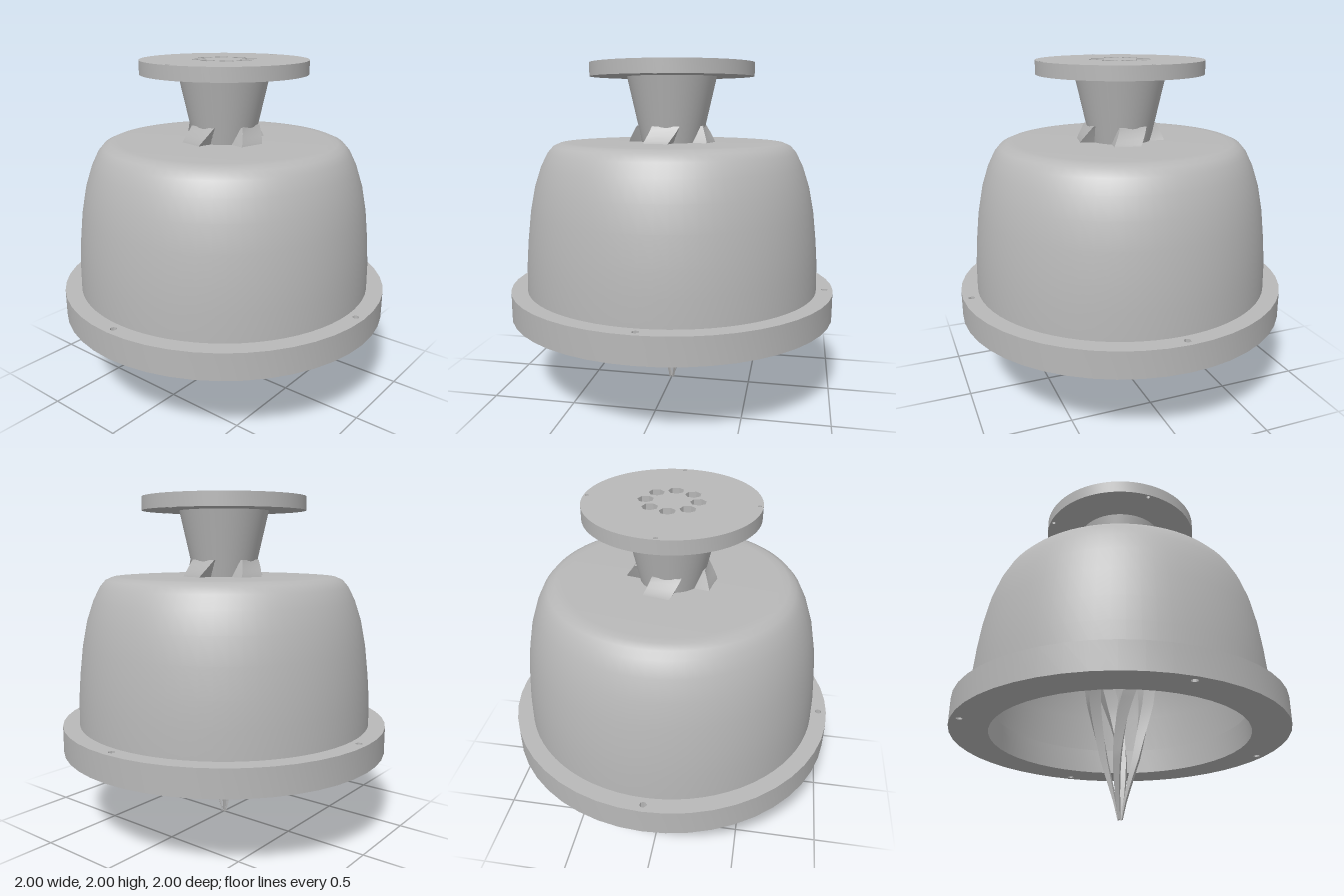
import * as THREE from 'three';
import { toCreasedNormals } from 'three/addons/utils/BufferGeometryUtils.js';

const metal = new THREE.MeshStandardMaterial({ color: 0xb8b8b8, side: THREE.DoubleSide });
metal.name = 'grey metal';

function part(name, geometry, crease = 0.6) {
  const mesh = new THREE.Mesh(toCreasedNormals(geometry, crease), metal);
  mesh.name = name;
  return mesh;
}

// Closed profile turned about the vertical axis
function turned(points, sides) {
  return new THREE.LatheGeometry(points.map(([r, y]) => new THREE.Vector2(r, y)), sides);
}

// Circular hole, or ring of holes, for a flat plate
function holeRing(shape, count, ring, radius, sides) {
  for (let i = 0; i < count; i++) {
    const a = (i / count) * Math.PI * 2;
    const pts = [];
    for (let k = 0; k < sides; k++) {
      const b = -(k / sides) * Math.PI * 2;
      pts.push(new THREE.Vector2(ring * Math.cos(a) + radius * Math.cos(b), ring * Math.sin(a) + radius * Math.sin(b)));
    }
    shape.holes.push(new THREE.Path(pts));
  }
}

// Horizontal disc plate from y0 to y1
function plate(shape, y0, y1, segments) {
  const g = new THREE.ExtrudeGeometry(shape, { depth: y1 - y0, bevelEnabled: false, curveSegments: segments });
  return g.rotateX(-Math.PI / 2).translate(0, y0, 0);
}

function disc(radius) {
  return new THREE.Shape().absarc(0, 0, radius, 0, Math.PI * 2, false);
}

// Linear lookup in a list of [y, value]
function lookup(table, y) {
  for (let i = 1; i < table.length; i++) {
    const [y0, v0] = table[i - 1], [y1, v1] = table[i];
    if (y <= y1) return v0 + (v1 - v0) * ((y - y0) / (y1 - y0));
  }
  return table[table.length - 1][1];
}

// Spiral vane: four-cornered section swept up a widening helix
function vaneGeometry() {
  const outer = [[0, 0.014], [0.1, 0.037], [0.2, 0.068], [0.35, 0.115], [0.48, 0.145], [0.7, 0.2],
    [0.9, 0.235], [1.2, 0.27], [1.45, 0.27], [1.53, 0.255], [1.63, 0.2]];
  const steps = 56, top = 1.63, pos = [], idx = [];
  for (let i = 0; i <= steps; i++) {
    const y = (top * i) / steps;
    const r1 = lookup(outer, y), r0 = Math.min(r1 * 0.65, 0.17);
    const w = 0.006 + 0.047 * y;
    const a = Math.PI / 4 + 2.26 * Math.pow(y / 1.58, 1.5);
    for (const [r, t] of [[r0, -w], [r1, -w], [r1, w], [r0, w]]) {
      pos.push(r * Math.sin(a) + t * Math.cos(a), y, r * Math.cos(a) - t * Math.sin(a));
    }
  }
  for (let i = 0; i < steps; i++) {
    for (let k = 0; k < 4; k++) {
      const a = i * 4 + k, b = i * 4 + ((k + 1) % 4);
      idx.push(a, b, b + 4, a, b + 4, a + 4);
    }
  }
  const e = steps * 4;
  idx.push(0, 2, 1, 0, 3, 2, e, e + 1, e + 2, e, e + 2, e + 3);
  const g = new THREE.BufferGeometry();
  g.setAttribute('position', new THREE.Float32BufferAttribute(pos, 3));
  g.setIndex(idx);
  g.computeVertexNormals();
  return g;
}

export function createModel() {
  const model = new THREE.Group();
  model.name = 'bellMixer';

  // Hollow bell: outer wall up, inner wall down
  model.add(part('bell', turned([
    [0.9, 0.63], [0.897, 0.8], [0.885, 0.95], [0.865, 1.12], [0.835, 1.27], [0.795, 1.39],
    [0.755, 1.47], [0.72, 1.51], [0.68, 1.527], [0.63, 1.53], [0, 1.53],
    [0, 1.48], [0.62, 1.48], [0.68, 1.465], [0.73, 1.4], [0.78, 1.28], [0.82, 1.1],
    [0.84, 0.9], [0.85, 0.63], [0.9, 0.63],
  ], 72)));

  // Base flange with four bolt holes
  const flange = disc(1);
  flange.holes.push(new THREE.Path().absarc(0, 0, 0.775, 0, Math.PI * 2, true));
  holeRing(flange, 4, 0.95, 0.02, 8);
  model.add(part('baseFlange', plate(flange, 0.48, 0.64, 24)));

  // Tapered neck
  model.add(part('neck', new THREE.CylinderGeometry(0.272, 0.175, 0.43, 48).translate(0, 1.71, 0)));

  // Top plate with a ring of ports and four bolt holes
  const cap = disc(0.495);
  holeRing(cap, 8, 0.145, 0.046, 7);
  holeRing(cap, 4, 0.475, 0.012, 8);
  model.add(part('topPlate', plate(cap, 1.92, 2, 48)));

  // Four twisted vanes meeting at the tip
  const vanes = new THREE.Group();
  vanes.name = 'spiralVanes';
  const vane = vaneGeometry();
  for (let i = 0; i < 4; i++) {
    const mesh = part('vane', vane);
    mesh.rotation.y = (i * Math.PI) / 2;
    vanes.add(mesh);
  }
  model.add(vanes);

  return model;
}
